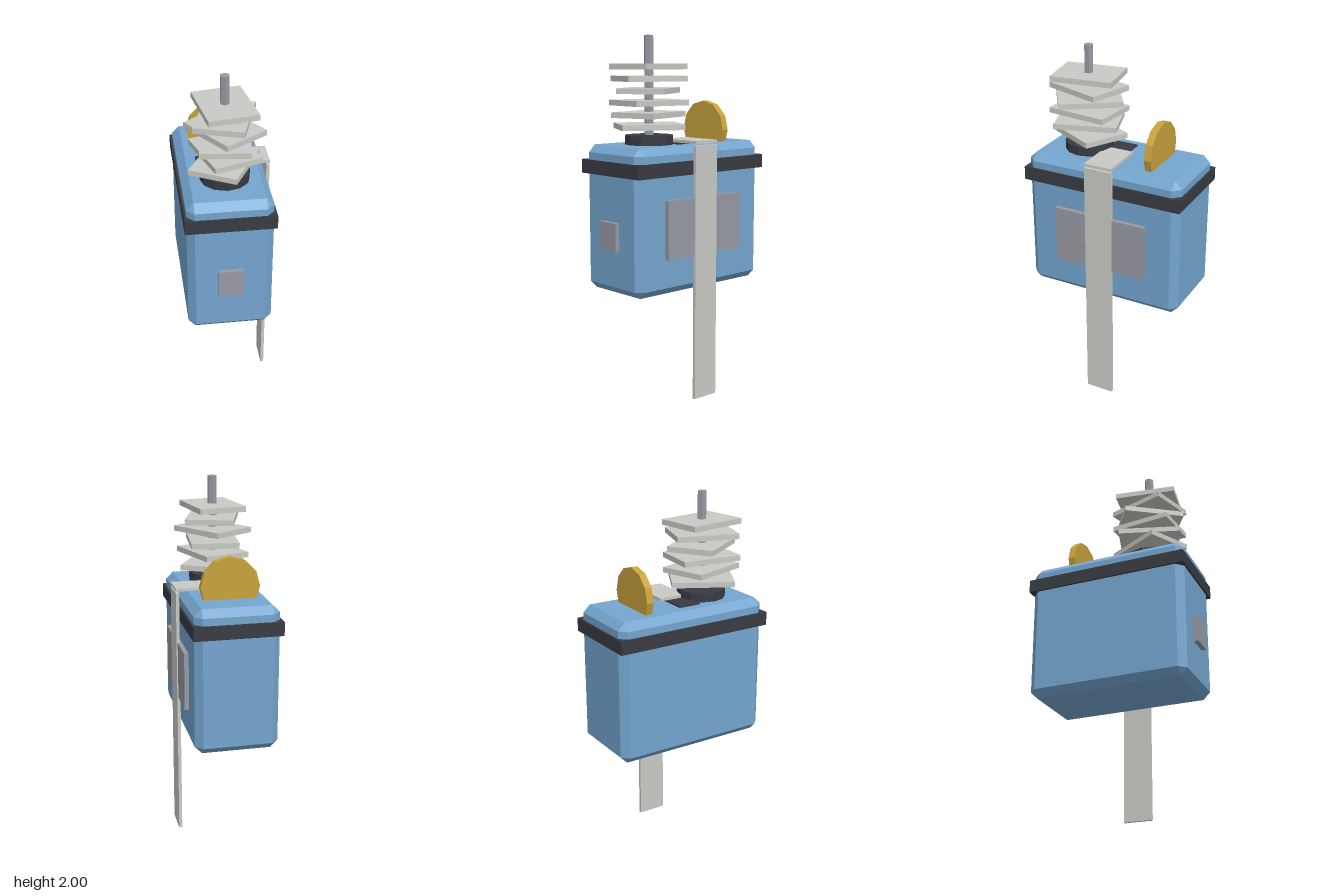
import * as THREE from 'three';
import { ConvexGeometry } from 'three/addons/geometries/ConvexGeometry.js';

const paint = (name, color) => {
  const m = new THREE.MeshStandardMaterial({ color });
  m.name = name;
  return m;
};

// Box with evenly cut edges and corners
function chamferedBox(w, h, d, c) {
  const points = [];
  for (const sx of [-1, 1]) for (const sy of [-1, 1]) for (const sz of [-1, 1]) {
    for (let axis = 0; axis < 3; axis++) {
      const half = [w / 2, h / 2, d / 2].map((v, i) => (i === axis ? v : v - c));
      points.push(new THREE.Vector3(sx * half[0], sy * half[1], sz * half[2]));
    }
  }
  return new ConvexGeometry(points);
}

// Cylinder with flat facets
function prism(radius, height, sides) {
  const g = new THREE.CylinderGeometry(radius, radius, height, sides).toNonIndexed();
  g.computeVertexNormals();
  return g;
}

export function createModel() {
  const model = new THREE.Group();
  const blue = paint('blue casing', 0x74a5cf);
  const dark = paint('dark trim', 0x383b42);
  const steel = paint('grey steel', 0x9799a3);
  const pale = paint('pale metal', 0xc9c9c4);
  const gold = paint('gold', 0xc9a23c);

  const add = (name, geometry, material, x, y, z) => {
    const mesh = new THREE.Mesh(geometry, material);
    mesh.name = name;
    mesh.position.set(x, y, z);
    model.add(mesh);
    return mesh;
  };
  // Box given by its lower and upper limits on each axis
  const block = (name, material, [x0, x1], [y0, y1], [z0, z1]) =>
    add(name, new THREE.BoxGeometry(x1 - x0, y1 - y0, z1 - z0), material,
      (x0 + x1) / 2, (y0 + y1) / 2, (z0 + z1) / 2);

  const cx = -0.01;       // middle of the casing
  const stackZ = 0.179;   // axis of the plate stack

  // Casing with its rim and side panels
  add('casing', chamferedBox(0.455, 0.795, 0.91, 0.04), blue, cx, 1.0175, -0.0075);
  block('rimBand', dark, [-0.249, 0.229], [1.26, 1.335], [-0.473, 0.458]);
  block('frontPanel', steel, [-0.078, 0.055], [0.86, 1.015], [0.44, 0.473]);
  block('sidePanel', steel, [0.21, 0.242], [0.815, 1.135], [-0.277, 0.263]);

  // Hanging strap and the short arm it folds from
  block('hangingStrap', pale, [0.23, 0.248], [0, 1.415], [-0.087, 0.073]);
  block('strapArm', pale, [cx, 0.248], [1.424, 1.44], [-0.087, 0.073]);
  block('strapMount', dark, [-0.143, 0.123], [1.4, 1.424], [-0.048, 0.08]);

  // Faceted gold disc sunk into the lid
  add('goldDisc', prism(0.16, 0.04, 12), gold, cx, 1.48, -0.249).rotation.x = -Math.PI / 2;

  // Spindle carrying the twisted stack of plates
  add('spindleBase', prism(0.133, 0.06, 12), dark, cx, 1.435, stackZ);
  add('spindle', prism(0.026, 0.6, 6), steel, cx, 1.7, stackZ);
  const twists = [-28.7, 17.8, -5.9, 33.7, -17.8, 8.7];
  const plate = new THREE.BoxGeometry(0.264, 0.03, 0.343);
  twists.forEach((deg, i) => {
    const y = 1.512 + i * 0.0642;
    add('stackPlate' + (i + 1), plate, pale, cx, y, stackZ).rotation.y = THREE.MathUtils.degToRad(deg);
  });

  return model;
}
